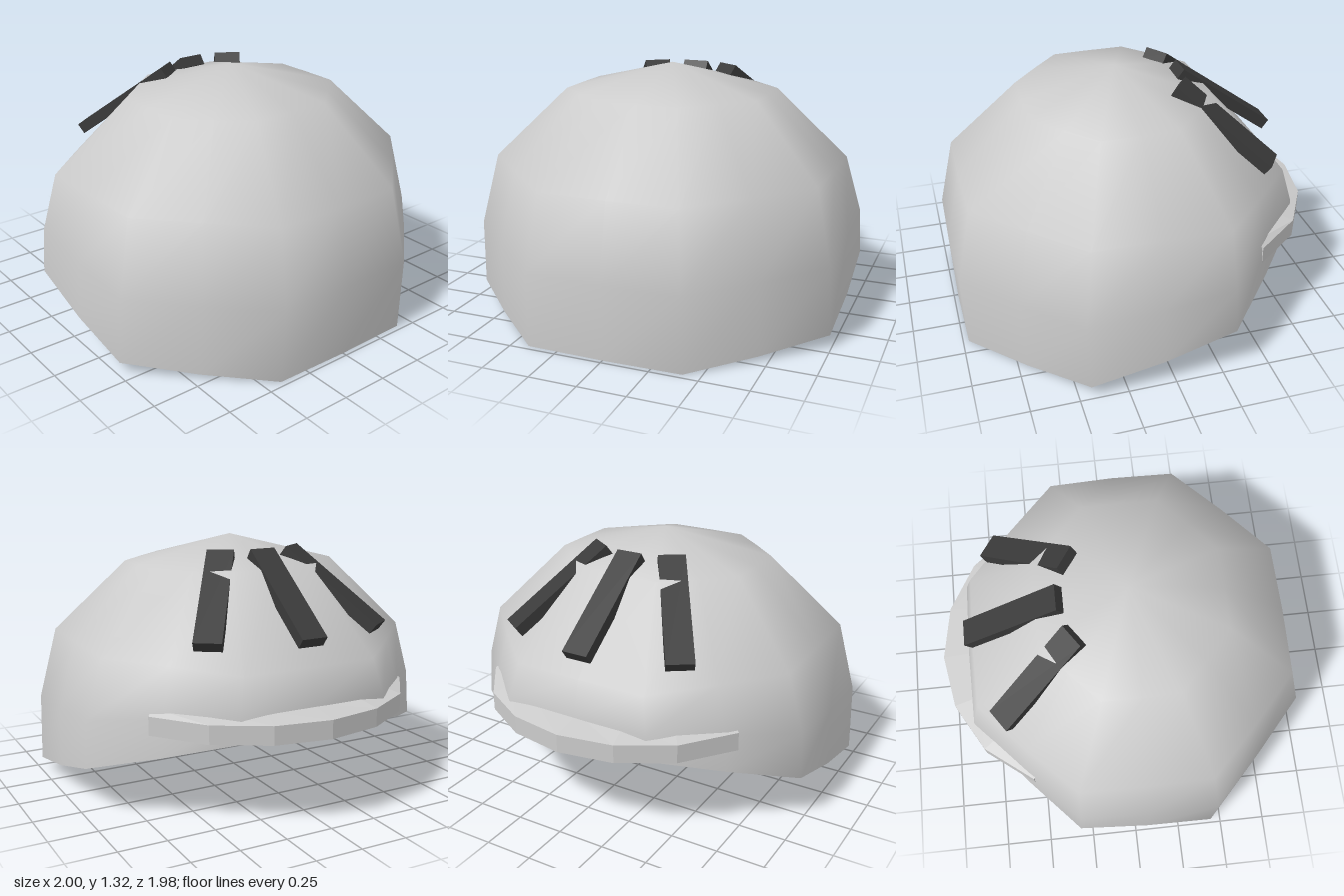
import * as THREE from 'three';

const SEG = 16;

function makeMesh(name, points, index, material, smooth) {
  let geometry = new THREE.BufferGeometry();
  geometry.setAttribute('position', new THREE.Float32BufferAttribute(points.flat(), 3));
  geometry.setIndex(index);
  if (!smooth) geometry = geometry.toNonIndexed();
  geometry.computeVertexNormals();
  const mesh = new THREE.Mesh(geometry, material);
  mesh.name = name;
  return mesh;
}

// Octagonal ring with edge midpoints; its height bends from front to back
function ring({ x, zFront, zBack, yFront, ySide, yBack }) {
  const points = [];
  for (let j = 0; j < SEG; j++) {
    const a = (j * Math.PI * 2) / SEG;
    const r = j % 2 ? 1 / Math.cos(Math.PI / 8) : 1.008;
    const t = r * Math.cos(a);
    const z = (zFront + zBack) / 2 + (t * (zFront - zBack)) / 2;
    const y = ySide + (t * (yFront - yBack)) / 2 + t * t * ((yFront + yBack) / 2 - ySide);
    points.push([x * r * Math.sin(a), y, z]);
  }
  return points;
}

export function createModel() {
  const group = new THREE.Group();
  group.name = 'helmet';
  const grey = new THREE.MeshStandardMaterial({ color: 0xcccccc });
  const dark = new THREE.MeshStandardMaterial({ color: 0x3a3a3a });

  // Shell: rings from the crown down to the slanted rim
  const rings = [
    { x: 0.53, zFront: 0.54, zBack: -0.42, yFront: 1.18, ySide: 1.18, yBack: 1.185 },
    { x: 0.89, zFront: 0.9, zBack: -0.79, yFront: 0.79, ySide: 0.81, yBack: 0.76 },
    { x: 0.977, zFront: 0.985, zBack: -0.836, yFront: 0.4, ySide: 0.46, yBack: 0.58 },
    { x: 0.99, zFront: 0.97, zBack: -0.845, yFront: 0.005, ySide: 0.15, yBack: 0.45 },
  ].map(ring);
  const shellPoints = [[0, 1.32, 0.05], ...rings.flat()];
  const shellIndex = [];
  const id = (i, j) => 1 + i * SEG + (j % SEG);
  for (let j = 0; j < SEG; j++) {
    shellIndex.push(0, id(0, j), id(0, j + 1));
    for (let i = 0; i < rings.length - 1; i++) {
      shellIndex.push(id(i, j), id(i + 1, j), id(i, j + 1));
      shellIndex.push(id(i, j + 1), id(i + 1, j), id(i + 1, j + 1));
    }
  }
  group.add(makeMesh('shell', shellPoints, shellIndex, grey, true));

  // Closed underside
  const rim = rings[rings.length - 1];
  const baseIndex = [];
  for (let j = 0; j < SEG; j++) baseIndex.push(0, 1 + ((j + 1) % SEG), 1 + j);
  group.add(makeMesh('underside', [[0, 0.15, 0.06], ...rim], baseIndex, grey, false));

  // Brim: four-sided section swept around the back
  const half = [ // outer x, outer z, inner x, inner z
    [0, -0.99, 0, -0.81],
    [0.29, -0.94, 0.26, -0.8],
    [0.55, -0.79, 0.49, -0.7],
    [0.745, -0.535, 0.71, -0.51],
  ];
  const stations = [
    ...half.slice(1).reverse().map(([a, b, c, d]) => [-a, b, -c, d]),
    ...half,
  ];
  const brimPoints = stations.flatMap(([ox, oz, ix, iz]) => [
    [ox, 0.55, oz], [ox, 0.455, oz], [ix, 0.46, iz], [ix, 0.58, iz],
  ]);
  const last = (stations.length - 1) * 4;
  const brimIndex = [0, 1, 2, 0, 2, 3, last, last + 2, last + 1, last, last + 3, last + 2];
  for (let s = 0; s < last; s += 4) {
    for (let k = 0; k < 4; k++) {
      const n = (k + 1) % 4;
      brimIndex.push(s + k, s + 4 + k, s + n, s + n, s + 4 + k, s + 4 + n);
    }
  }
  group.add(makeMesh('brim', brimPoints, brimIndex, grey, false));

  // Three dark vent bars fanned over the sloping back
  const barGeometry = new THREE.BoxGeometry(0.14, 0.06, 0.63);
  for (const side of [-1, 0, 1]) {
    const bar = new THREE.Mesh(barGeometry, dark);
    bar.name = ['rightVent', 'centreVent', 'leftVent'][side + 1];
    bar.position.set(side * 0.345, 1.068, side ? -0.447 : -0.55);
    bar.rotation.set(-0.63, side * -0.6, 0, 'YXZ');
    group.add(bar);
  }
  return group;
}
